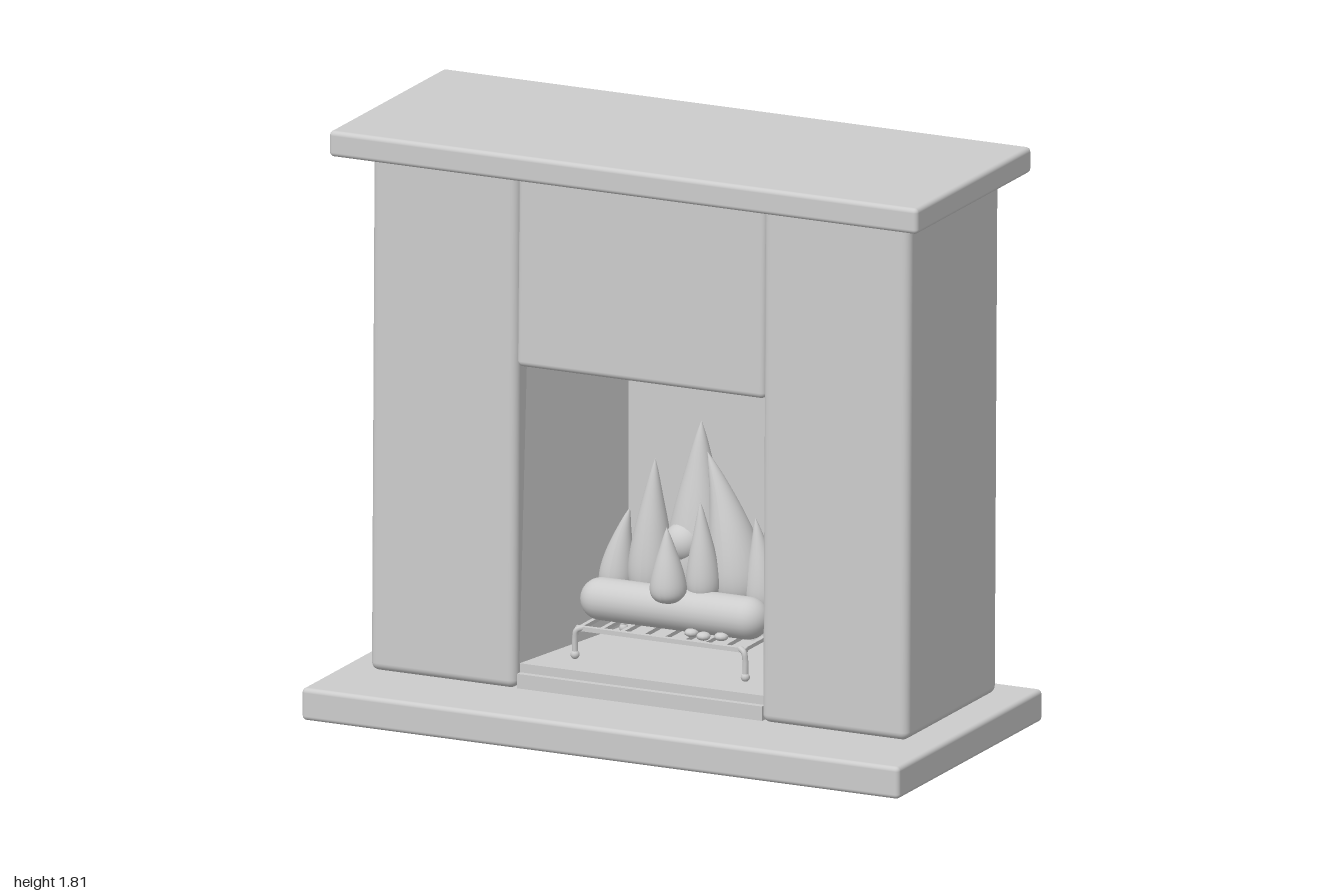
import * as THREE from 'three';
import { RoundedBoxGeometry } from 'three/addons/geometries/RoundedBoxGeometry.js';

export function createModel() {
  const root = new THREE.Group();
  root.name = 'fireplace';
  const stone = new THREE.MeshStandardMaterial({ color: 0xcccccc });
  stone.name = 'pale grey';

  const add = (name, geo, x = 0, y = 0, z = 0, parent = root) => {
    const m = new THREE.Mesh(geo, stone);
    m.name = name;
    m.position.set(x, y, z);
    parent.add(m);
    return m;
  };
  // Rounded block between two corners; its top may lean by topX
  const block = (name, [x0, x1], [y0, y1], [z0, z1], r, topX = 0, topZ = 0) => {
    const h = y1 - y0;
    const g = new RoundedBoxGeometry(x1 - x0, h, z1 - z0, 4, r);
    const p = g.attributes.position;
    for (let i = 0; i < p.count; i++) {
      const t = p.getY(i) / h + 0.5;
      p.setX(i, p.getX(i) + topX * t);
      p.setZ(i, p.getZ(i) + topZ * t);
    }
    return add(name, g, (x0 + x1) / 2, (y0 + y1) / 2, (z0 + z1) / 2);
  };
  const box = (name, [x0, x1], [y0, y1], [z0, z1]) =>
    add(name, new THREE.BoxGeometry(x1 - x0, y1 - y0, z1 - z0), (x0 + x1) / 2, (y0 + y1) / 2, (z0 + z1) / 2);

  // Surround
  block('baseSlab', [-1, 1], [0, 0.1], [-0.49, 0.49], 0.014);
  block('mantelShelf', [-0.97, 1], [1.73, 1.81], [-0.415, 0.365], 0.014);
  block('rightPillar', [-0.9, -0.412], [0.103, 1.727], [-0.385, 0.231], 0.025, 0.012, 0.006);
  block('leftPillar', [0.41, 0.9], [0.103, 1.727], [-0.385, 0.231], 0.025, 0.012, 0.006);
  block('lintel', [-0.41, 0.422], [1.11, 1.727], [-0.38, 0.228], 0.018, 0.006);

  // Firebox: stepped hearth, back panel and two splayed cheeks
  box('hearthLower', [-0.41, 0.41], [0.105, 0.15], [-0.38, 0.22]);
  box('hearthUpper', [-0.41, 0.41], [0.15, 0.178], [-0.37, 0.2]);
  box('backPanel', [-0.32, 0.315], [0.178, 1.115], [-0.375, -0.335]);
  for (const s of [-1, 1]) {
    const cheek = add('cheekPanel', new THREE.BoxGeometry(0.03, 0.94, 0.56), s * 0.376, 0.645, -0.07);
    cheek.rotation.y = s * Math.atan2(0.1, 0.535);
  }

  // Grate: rim, bars and bent legs with ball feet
  const grate = new THREE.Group();
  grate.name = 'grate';
  root.add(grate);
  for (const z of [0.07, -0.24])
    add('grateRail', new THREE.BoxGeometry(0.57, 0.014, 0.016), 0, 0.272, z, grate);
  for (let i = 0; i <= 8; i++)
    add('grateBar', new THREE.BoxGeometry(0.014, 0.012, 0.31), -0.272 + i * 0.068, 0.272, -0.085, grate);
  for (const s of [-1, 1]) for (const z of [0.08, -0.25]) {
    const path = new THREE.CatmullRomCurve3([
      new THREE.Vector3(s * 0.262, 0.275, z - 0.01),
      new THREE.Vector3(s * 0.28, 0.268, z),
      new THREE.Vector3(s * 0.285, 0.24, z),
      new THREE.Vector3(s * 0.285, 0.185, z),
    ]);
    add('grateLeg', new THREE.TubeGeometry(path, 16, 0.009, 8), 0, 0, 0, grate);
    add('grateFoot', new THREE.SphereGeometry(0.014, 12, 8), s * 0.285, 0.191, z, grate);
  }

  // Logs
  const log = (len, r, x, y, z) => add('log', new THREE.CapsuleGeometry(r, len - 2 * r, 8, 24), x, y, z);
  log(0.62, 0.065, 0, 0.345, -0.02).rotation.z = Math.PI / 2;
  log(0.56, 0.06, 0, 0.345, -0.17).rotation.z = Math.PI / 2;
  const top = log(0.26, 0.062, -0.01, 0.53, -0.17);
  top.rotation.x = Math.PI / 2;
  for (const [x, z] of [[0.08, 0.03], [0.13, 0.05], [0.18, 0.03], [0.1, -0.09], [-0.12, -0.1]])
    add('ember', new THREE.SphereGeometry(0.022, 10, 8), x, 0.292, z).scale.y = 0.6;

  // Flames: a teardrop lathe whose tip leans sideways
  const profile = [[0, 0], [0.62, 0.03], [0.92, 0.1], [1, 0.2], [0.92, 0.34], [0.72, 0.52], [0.44, 0.72], [0.18, 0.9], [0, 1]];
  const outline = new THREE.SplineCurve(profile.map(([r, y]) => new THREE.Vector2(r, y))).getPoints(28);
  const flame = (x, y0, z, r, tipX, tipY) => {
    const h = tipY - y0;
    const g = new THREE.LatheGeometry(outline.map(p => new THREE.Vector2(Math.max(0, p.x) * r, p.y * h)), 24);
    const p = g.attributes.position;
    for (let i = 0; i < p.count; i++) p.setX(i, p.getX(i) + (tipX - x) * (p.getY(i) / h) ** 2);
    g.computeVertexNormals();
    add('flame', g, x, y0, z);
  };
  flame(0.01, 0.34, -0.16, 0.105, 0.02, 0.9);
  flame(-0.13, 0.34, -0.12, 0.07, -0.115, 0.775);
  flame(-0.245, 0.34, -0.12, 0.055, -0.2, 0.61);
  flame(0.155, 0.34, -0.14, 0.09, 0.05, 0.81);
  flame(0.245, 0.34, -0.12, 0.055, 0.22, 0.63);
  flame(-0.04, 0.36, -0.22, 0.07, -0.05, 0.71);
  flame(0.08, 0.37, -0.05, 0.052, 0.07, 0.68);
  flame(-0.005, 0.37, 0.015, 0.056, -0.01, 0.605);

  return root;
}
